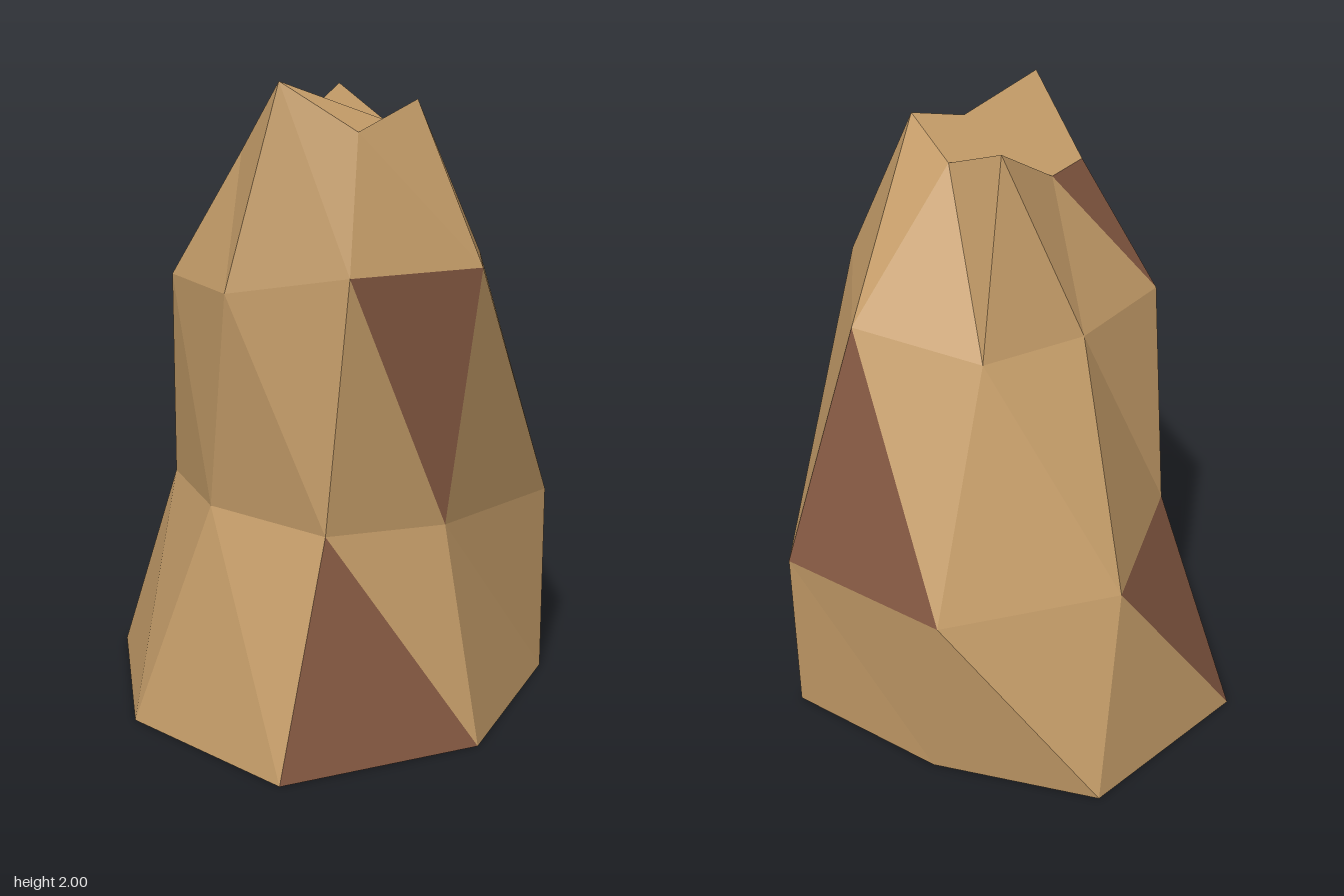
import * as THREE from 'three';

// Four seven-sided cross-sections, from the ground up: [x, y, z]
const RINGS = [
  [[0.68, 0, -0.03], [0.46, 0, 0.58], [-0.16, 0, 0.645], [-0.68, 0, 0.3], [-0.63, 0, -0.34], [-0.13, 0, -0.56], [0.43, 0, -0.605]],
  [[0.49, 0.66, -0.065], [0.4, 0.7, 0.345], [0.01, 0.72, 0.46], [-0.37, 0.7, 0.3], [-0.56, 0.66, -0.165], [-0.22, 0.63, -0.62], [0.39, 0.61, -0.645]],
  [[0.563, 1.46, -0.125], [0.43, 1.465, 0.28], [0.135, 1.405, 0.495], [-0.25, 1.385, 0.387], [-0.263, 1.375, 0.007], [-0.137, 1.365, -0.307], [0.25, 1.415, -0.45]],
  [[0.365, 1.935, -0.045], [0.36, 1.86, 0.185], [0.2, 2, 0.34], [-0.015, 1.78, 0.3], [-0.06, 1.8, 0.1], [-0.06, 1.94, -0.13], [0.16, 1.85, -0.11]],
];
const SIDES = 7;

// Brown patches, as level-side-half of the quad
const PATCHES = new Set(['0-0-lower', '0-3-upper', '1-0-upper', '1-5-lower', '2-3-upper']);

// Separate corners per triangle keep every facet flat
function facets(triangles) {
  const geometry = new THREE.BufferGeometry();
  geometry.setAttribute('position', new THREE.Float32BufferAttribute(triangles.flat(2), 3));
  geometry.computeVertexNormals();
  return geometry;
}

export function createModel() {
  const group = new THREE.Group();
  group.name = 'stump';
  const tan = new THREE.MeshStandardMaterial({ color: 0xc49c68 });
  tan.name = 'tanWood';
  const brown = new THREE.MeshStandardMaterial({ color: 0x875a43 });
  brown.name = 'brownBark';

  const add = (name, geometry, material) => {
    const mesh = new THREE.Mesh(geometry, material);
    mesh.name = name;
    group.add(mesh);
  };

  // Side walls: each quad is split along the same diagonal
  const wood = [];
  const bark = [];
  for (let level = 0; level < RINGS.length - 1; level++) {
    const a = RINGS[level];
    const b = RINGS[level + 1];
    for (let i = 0; i < SIDES; i++) {
      const j = (i + 1) % SIDES;
      const halves = { lower: [a[i], b[j], a[j]], upper: [a[i], b[i], b[j]] };
      for (const [half, triangle] of Object.entries(halves)) {
        (PATCHES.has(`${level}-${i}-${half}`) ? bark : wood).push(triangle);
      }
    }
  }
  add('trunk', facets(wood), tan);
  add('barkPatches', facets(bark), brown);

  // Flat underside
  const base = RINGS[0];
  const under = [];
  for (let i = 1; i < SIDES - 1; i++) under.push([base[0], base[i], base[i + 1]]);
  add('underside', facets(under), tan);

  // Jagged broken top, shaded as one face
  const top = RINGS[3];
  const corners = [[4, 3, 2], [6, 4, 2], [6, 5, 4], [6, 1, 0], [6, 2, 1]];
  const cap = facets(corners.map((c) => c.map((k) => top[k])));
  const normal = cap.attributes.normal;
  for (let i = 0; i < normal.count; i++) normal.setXYZ(i, 0, 1, 0);
  add('brokenTop', cap, tan);

  return group;
}
